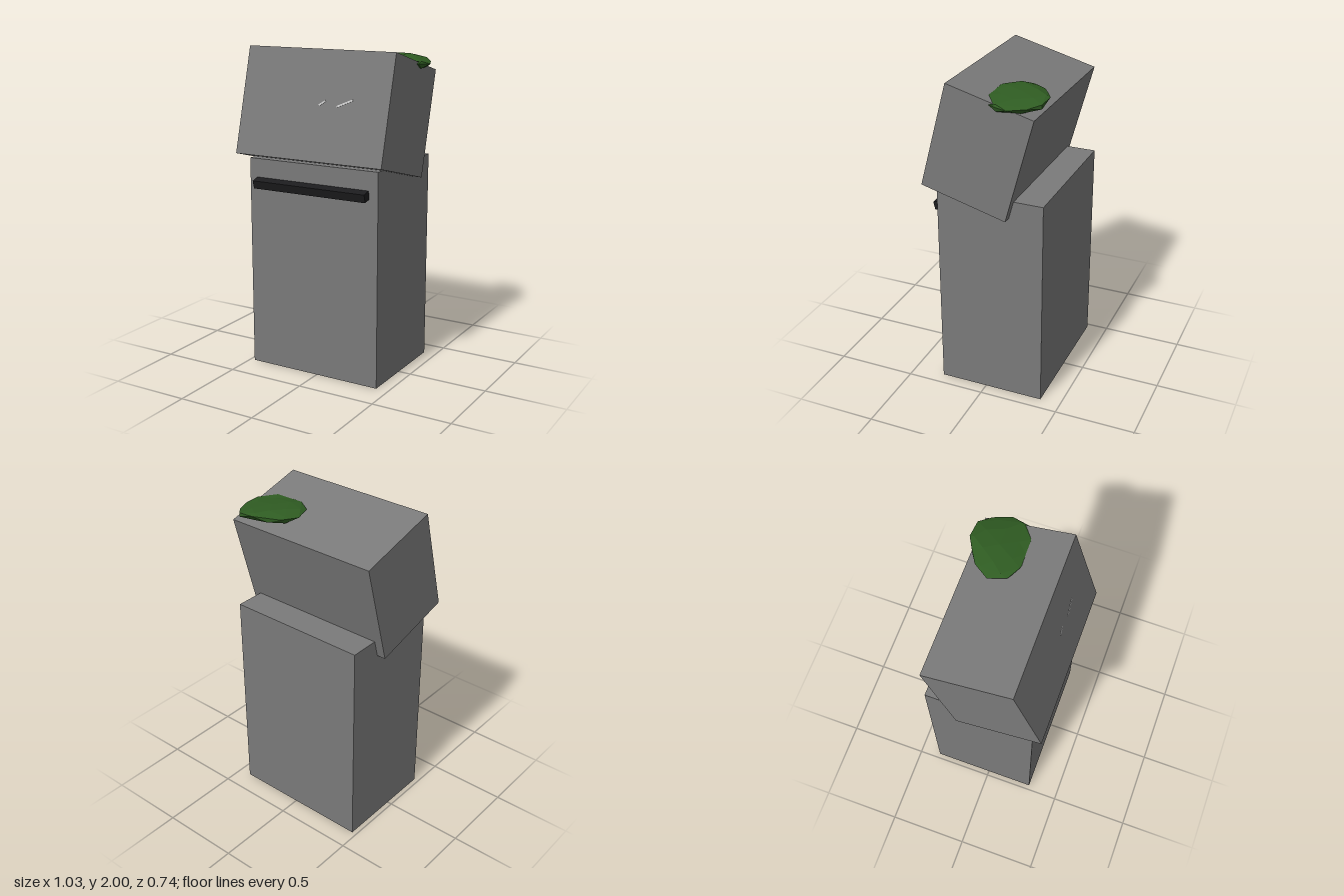
import * as THREE from 'three';

const TILT = THREE.MathUtils.degToRad(15);

function material(color) {
  return new THREE.MeshStandardMaterial({ color, flatShading: true });
}

function addBox(parent, name, mat, size, position, rotation = [0, 0, 0]) {
  const mesh = new THREE.Mesh(new THREE.BoxGeometry(...size), mat);
  mesh.name = name;
  mesh.position.set(...position);
  mesh.rotation.set(...rotation);
  parent.add(mesh);
  return mesh;
}

// Irregular plan outline of the moss (x, z), around its centre
const MOSS_OUTLINE = [
  [-0.205, -0.04], [-0.1, -0.13], [0.01, -0.18], [0.08, -0.19], [0.13, -0.165],
  [0.18, -0.07], [0.22, 0.03], [0.21, 0.09], [0.16, 0.13], [0.06, 0.175],
  [0, 0.18], [-0.07, 0.17], [-0.16, 0.13], [-0.205, 0.03],
];

// Distance from the centre to the outline along a unit direction
function outlineRadius(dx, dz) {
  for (let i = 0; i < MOSS_OUTLINE.length; i++) {
    const [ax, az] = MOSS_OUTLINE[i];
    const [bx, bz] = MOSS_OUTLINE[(i + 1) % MOSS_OUTLINE.length];
    const ex = bx - ax, ez = bz - az;
    const det = dx * ez - dz * ex;
    const r = (ax * ez - az * ex) / det;
    const s = (ax * dz - az * dx) / det;
    if (r > 0 && s >= -1e-6 && s <= 1 + 1e-6) return r;
  }
  return 0.18;
}

// Faceted ball, flattened above, bowl-shaped below and drooping at one side
function mossGeometry() {
  const geometry = new THREE.IcosahedronGeometry(1, 1);
  const p = geometry.attributes.position;
  const v = new THREE.Vector3();
  for (let i = 0; i < p.count; i++) {
    v.fromBufferAttribute(p, i);
    const flat = Math.hypot(v.x, v.z);
    const r = flat > 1e-4 ? outlineRadius(v.x / flat, v.z / flat) : 0;
    const x = v.x * r, z = v.z * r;
    const bump = 0.006 * Math.sin(v.x * 7 + v.z * 5);
    const droop = 0.035 * Math.max(0, x / 0.22) ** 2;
    p.setXYZ(i, x, v.y * (v.y > 0 ? 0.022 : 0.06) + bump - droop, z);
  }
  geometry.computeVertexNormals();
  return geometry;
}

export function createModel() {
  const model = new THREE.Group();
  model.name = 'boxWithTiltedHead';
  const grey = material(0x7a7a7a);
  const black = material(0x1c1c1e);

  // Upright body and the bar across its front
  addBox(model, 'body', grey, [0.89, 1.33, 0.67], [-0.025, 0.665, -0.035]);
  addBox(model, 'frontBar', black, [0.775, 0.052, 0.055], [-0.027, 1.183, 0.325], [TILT, 0, 0]);

  // Head leaning backwards
  const head = new THREE.Group();
  head.name = 'head';
  head.position.set(-0.025, 1.6125, 0.02);
  head.rotation.x = -TILT;
  addBox(head, 'headBlock', grey, [1, 0.662, 0.547], [0, 0, 0]);

  // Pale scratches on the face of the head
  const pale = material(0xcccccc);
  addBox(head, 'shortScratch', pale, [0.05, 0.01, 0.004], [0.062, 0.015, 0.2735], [0, 0, 0.6]);
  addBox(head, 'longScratch', pale, [0.11, 0.01, 0.004], [0.212, 0.022, 0.2735], [0, 0, 0.42]);
  model.add(head);

  // Clump of moss on the rear corner of the head
  const moss = new THREE.Mesh(mossGeometry(), material(0x2f5c22));
  moss.name = 'mossClump';
  moss.position.set(0.3, 1.936, -0.18);
  model.add(moss);

  return model;
}
